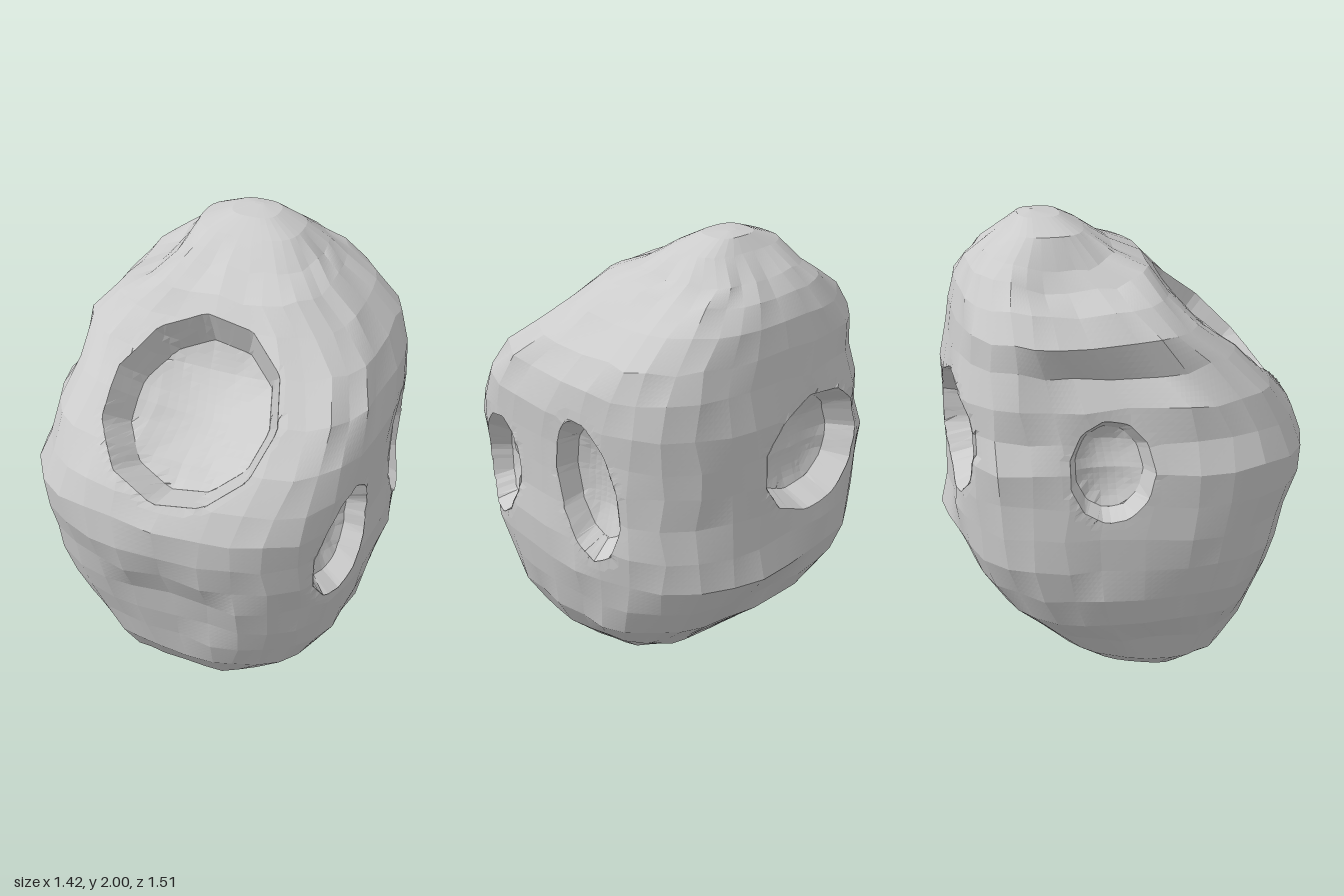
import * as THREE from 'three';

// Body cross-sections, bottom to top: [y, left x, right x, front z, back z, front roundness]
const ROWS = [
  [0.00, -0.02, 0.00, 0.07, 0.05, 0.7], [0.00, -0.17, 0.13, 0.19, -0.08, 0.7],
  [0.00, -0.29, 0.23, 0.31, -0.20, 0.7], [0.09, -0.41, 0.37, 0.43, -0.29, 0.7],
  [0.24, -0.48, 0.53, 0.53, -0.42, 0.7], [0.38, -0.58, 0.62, 0.58, -0.55, 0.7],
  [0.52, -0.64, 0.66, 0.63, -0.64, 0.7], [0.66, -0.68, 0.69, 0.67, -0.70, 0.7],
  [0.80, -0.69, 0.70, 0.71, -0.72, 0.7], [0.94, -0.70, 0.70, 0.75, -0.72, 0.7],
  [1.08, -0.71, 0.70, 0.75, -0.73, 0.66], [1.20, -0.66, 0.70, 0.70, -0.73, 0.6],
  [1.34, -0.64, 0.71, 0.60, -0.73, 0.54], [1.48, -0.59, 0.69, 0.45, -0.71, 0.52],
  [1.60, -0.59, 0.63, 0.29, -0.69, 0.52], [1.71, -0.50, 0.52, 0.18, -0.66, 0.55],
  [1.80, -0.38, 0.39, 0.11, -0.62, 0.6], [1.86, -0.31, 0.30, -0.03, -0.56, 0.65],
  [1.94, -0.23, 0.21, -0.15, -0.46, 0.69], [1.99, -0.10, 0.10, -0.24, -0.41, 0.69],
  [2.00, -0.02, 0.02, -0.34, -0.36, 0.69],
];
const SEGS = 32, SUB = 6, SIDES = 11;

// Craters: centre, facing direction, half width, half height, lean, depth
const CRATERS = [
  { c: [0.03, 1.46, 0.43], n: [0, 0.65, 0.76], w: 0.37, h: 0.40, lean: 0, depth: 0.23 },
  { c: [0.64, 0.94, 0.34], n: [0.94, 0, 0.34], w: 0.175, h: 0.255, lean: 0.35, depth: 0.14 },
  { c: [0.69, 1.05, -0.26], n: [1, 0, -0.2], w: 0.155, h: 0.31, lean: -0.2, depth: 0.15 },
  { c: [-0.14, 1.13, -0.71], n: [-0.15, 0, -1], w: 0.30, h: 0.26, lean: 0, depth: 0.18 },
  { c: [-0.64, 1.09, -0.14], n: [-1, 0.1, 0], w: 0.17, h: 0.215, lean: 0, depth: 0.13 },
  { c: [0.01, 0.03, -0.02], n: [0, -1, -0.15], w: 0.20, h: 0.18, lean: 0, depth: 0.13 },
].map((o) => {
  const n = new THREE.Vector3(...o.n).normalize();
  const up = Math.abs(n.y) > 0.9 ? new THREE.Vector3(0, 0, 1) : new THREE.Vector3(0, 1, 0);
  const u = up.cross(n).normalize().applyAxisAngle(n, -o.lean);
  const v = n.clone().cross(u);
  return { ...o, c: new THREE.Vector3(...o.c), n, u, v };
});

// Soft lumps and dents of the coarse body: centre, radii, shift at the centre
const LUMPS = [
  { c: [0.0, 0.58, 0.66], r: [0.32, 0.24, 0.3], shift: [0, 0, -0.035] },       // front hollow
  { c: [-0.54, 1.50, -0.10], r: [0.2, 0.13, 0.35], shift: [0.04, -0.04, 0] },  // left shoulder
  { c: [-0.36, 1.78, -0.22], r: [0.2, 0.16, 0.25], shift: [0.02, -0.05, 0] },  // upper left ledge
  { c: [-0.70, 1.05, -0.25], r: [0.3, 0.6, 0.4], shift: [0.05, 0, 0] },        // left flank
  { c: [0.22, 0.66, -0.68], r: [0.3, 0.16, 0.3], shift: [0, 0, -0.05] },       // back bump
];

// Small seeded noise for the rough facets
const noise = (i, j, k) => {
  const s = Math.sin(i * 12.99 + j * 78.23 + k * 37.72) * 43758.55;
  return (s - Math.floor(s) - 0.5) * 2;
};

// Corner of the coarse rock surface
function coarsePoint(j, i) {
  const [y, xl, xr, zf, zb, front] = ROWS[j];
  const t = (i / SEGS) * Math.PI * 2;
  const a = t - 0.08 * Math.sin(4 * t);
  const power = Math.sin(a) > 0 ? front : 0.69;
  const round = (q) => Math.sign(q) * Math.pow(Math.abs(q), power);
  const amp = j < 3 || j > 17 ? 0 : 0.01;
  const p = new THREE.Vector3(
    (xl + xr) / 2 + round(Math.cos(a)) * (xr - xl) / 2 + amp * noise(i, j, 1), y + amp * noise(i, j, 2),
    (zf + zb) / 2 + round(Math.sin(a)) * (zf - zb) / 2 + amp * noise(i, j, 3));
  // the underside rises towards the back
  p.y += Math.max(0, 0.15 - p.z) * 0.19 * Math.max(0, 1 - y / 0.3);
  for (const { c, r, shift } of LUMPS) {
    const d = Math.hypot((p.x - c[0]) / r[0], (p.y - c[1]) / r[1], (p.z - c[2]) / r[2]);
    if (d < 1) p.addScaledVector(new THREE.Vector3(...shift), 1 - d ** 3);
  }
  return p;
}

// Presses one crater into a point; rim and wall foot are pulled onto clean polygons
function press(p, { c, n, u, v, w, h, depth }) {
  const d = p.clone().sub(c);
  const dn = d.dot(n);
  if (Math.abs(dn) > 0.3) return;
  let s = d.dot(u) / w, t = d.dot(v) / h;
  const step = (Math.PI * 2) / SIDES;
  const angle = (Math.atan2(t, s) + Math.PI * 2) % step;
  const r = Math.hypot(s, t) * Math.cos(angle - step / 2) / Math.cos(step / 2);
  const band = 0.021 / Math.min(w, h);
  if (r > 1 + band) return;
  const rr = r > 1 - band ? 1 : Math.abs(r - 0.8) < band ? 0.8 : r;
  const k = r > 1e-4 ? rr / r : 1;
  s *= k; t *= k;
  const f = rr > 0.8 ? (1 - rr) / 0.2 * 0.66 : 1 - 0.34 * (rr / 0.8) ** 2;
  p.copy(c).addScaledVector(u, s * w).addScaledVector(v, t * h).addScaledVector(n, dn - depth * f);
}

function rockGeometry() {
  const pos = [], index = [];
  const cols = SEGS * SUB, rows = (ROWS.length - 1) * SUB;
  const grid = ROWS.map((_, j) => Array.from({ length: SEGS }, (_, i) => coarsePoint(j, i)));
  for (let J = 0; J <= rows; J++) {
    const j = Math.min(Math.floor(J / SUB), ROWS.length - 2), fj = J / SUB - j;
    for (let I = 0; I < cols; I++) {
      const i = Math.floor(I / SUB), fi = I / SUB - i, i2 = (i + 1) % SEGS;
      const low = grid[j][i].clone().lerp(grid[j][i2], fi);
      const high = grid[j + 1][i].clone().lerp(grid[j + 1][i2], fi);
      const p = low.lerp(high, fj);
      CRATERS.forEach((o) => press(p, o));
      pos.push(p.x, Math.max(0, p.y), p.z);
      if (J < rows) {
        const a = J * cols + I, b = J * cols + (I + 1) % cols;
        index.push(a, a + cols, b, b, a + cols, b + cols);
      }
    }
  }
  // close the two tiny end rings
  for (let I = 1; I < cols - 1; I++) {
    const t = rows * cols;
    index.push(0, I, I + 1, t, t + I + 1, t + I);
  }
  const g = new THREE.BufferGeometry();
  g.setAttribute('position', new THREE.Float32BufferAttribute(pos, 3));
  g.setIndex(index);
  const flat = g.toNonIndexed();
  flat.computeVertexNormals();
  return flat;
}

export function createModel() {
  const group = new THREE.Group();
  group.name = 'asteroid';
  const rock = new THREE.Mesh(rockGeometry(),
    new THREE.MeshStandardMaterial({ color: 0xcccccc, flatShading: true }));
  rock.name = 'crateredRock';
  group.add(rock);
  return group;
}
